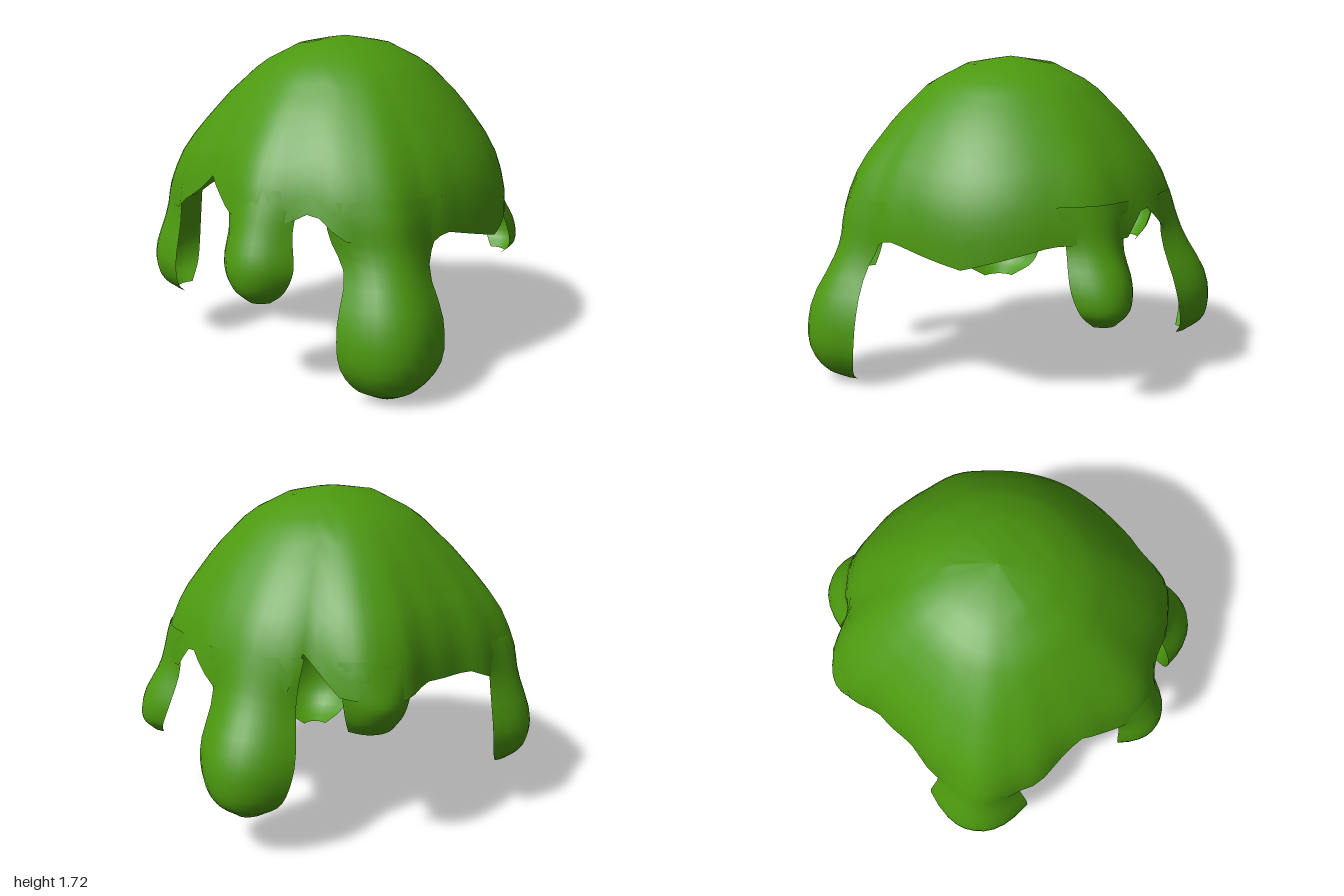
import * as THREE from 'three';

const TOP = 1.715, CZ = -0.05;
const RAD = Math.PI / 180;

// Cap profile: [depth below the top, share of the outline radius]
const PROFILE = [[0, 0], [0.035, 0.26], [0.167, 0.515], [0.374, 0.715], [0.597, 0.875], [0.747, 0.95], [0.9, 0.99], [1, 1]];

// Ragged lower edge of the cap: [degrees from front towards +x, height]
const RIM = [[0, 0.76], [20, 0.69], [50, 0.81], [80, 0.82], [90, 0.97], [105, 0.8], [131, 0.8],
  [136, 1.02], [148, 0.83], [169, 0.8], [180, 0.84], [200, 0.83], [210, 0.76], [237, 0.78], [260, 1.02],
  [274, 0.88], [297, 0.86], [306, 0.93], [315, 0.8], [346, 0.74], [349, 0.8], [360, 0.76]];

// Plan outline of the cap: [degrees, radius]
const PLAN = [[0, 0.85], [28, 0.86], [50, 0.86], [67, 0.89], [82, 0.86], [105, 0.88], [119, 0.91], [130, 0.89], [139, 0.86],
  [156, 0.97], [166, 0.95], [180, 0.86], [193, 0.86], [210, 0.95], [224, 1.04], [238, 0.96], [255, 0.87], [266, 0.88],
  [287, 0.96], [302, 0.9], [318, 0.94], [330, 0.96], [345, 0.88], [360, 0.85]];

// Hanging drips: rows are [height, half width, radius of the outer face]
const DRIPS = [
  { name: 'frontDrip', angle: -31, rows: [[0.98, 0.28, 0.95], [0.8, 0.26, 0.98], [0.63, 0.215, 1.04], [0.4, 0.265, 1.145], [0.2, 0.26, 1.16], [0.07, 0.18, 1.09], [0, 0.07, 0.97]] },
  { name: 'leftFrontDrip', angle: 67, rows: [[1.0, 0.2, 0.88], [0.8, 0.17, 0.93], [0.59, 0.185, 1.02], [0.48, 0.15, 1.03], [0.41, 0.07, 0.97]] },
  { name: 'leftBackDrip', angle: 119, rows: [[1.0, 0.24, 0.9], [0.78, 0.23, 0.98], [0.48, 0.265, 1.1], [0.3, 0.21, 1.09], [0.2, 0.07, 0.98]] },
  { name: 'backDrip', angle: 160, rows: [[1.0, 0.18, 0.93], [0.8, 0.17, 0.99], [0.7, 0.15, 0.96], [0.62, 0.12, 0.89]] },
  { name: 'rightBackDrip', angle: 222, rows: [[1.0, 0.24, 1.0], [0.76, 0.22, 1.06], [0.47, 0.275, 1.135], [0.34, 0.23, 1.11], [0.25, 0.09, 1.02]] },
  { name: 'rightFrontDrip', angle: 287, rows: [[1.02, 0.21, 0.92], [0.82, 0.19, 1.0], [0.63, 0.21, 1.045], [0.52, 0.16, 1.02], [0.45, 0.07, 0.95]] },
];

function lookup(table, d, smooth) {
  let i = 0;
  while (i < table.length - 2 && d > table[i + 1][0]) i++;
  const [a, va] = table[i], [b, vb] = table[i + 1];
  let t = (d - a) / (b - a);
  if (smooth) t = t * t * (3 - 2 * t);
  return va + (vb - va) * t;
}

// Share of the cap's depth reached at a height
const depthAt = y => THREE.MathUtils.clamp((TOP - y) / 0.87, 0, 1);

// Radius of the cap in a given direction and height
function capRadius(deg, y) {
  const h = depthAt(y);
  return lookup(PROFILE, h, false) * THREE.MathUtils.lerp(0.87, lookup(PLAN, deg, true), h);
}

// Surface from a grid of points, rows running downwards and columns to the right
function gridSurface(rows, cols, closed, point) {
  const pos = [], index = [];
  const n = closed ? cols : cols + 1;
  for (let r = 0; r <= rows; r++)
    for (let c = 0; c < n; c++) pos.push(...point(r / rows, c / cols));
  for (let r = 0; r < rows; r++)
    for (let c = 0; c < cols; c++) {
      const a = r * n + c, b = r * n + (c + 1) % n;
      index.push(a, a + n, b + n, a, b + n, b);
    }
  const g = new THREE.BufferGeometry();
  g.setAttribute('position', new THREE.Float32BufferAttribute(pos, 3));
  g.setIndex(index);
  g.computeVertexNormals();
  return g;
}

// Rounded cap with a ragged rim, its crown leaning slightly back and to the right
function capGeometry() {
  return gridSurface(14, 90, true, (v, u) => {
    const deg = u * 360, a = deg * RAD;
    const y = TOP - (TOP - lookup(RIM, deg, false)) * Math.pow(v, 1.6);
    const r = capRadius(deg, y), lean = 0.025 * (1 - depthAt(y));
    return [Math.sin(a) * r - lean, y, Math.cos(a) * r + CZ - lean];
  });
}

// Bulging tongue, curved across its width, that grows out of the cap surface
function dripGeometry({ angle, rows }) {
  const path = new THREE.CatmullRomCurve3(rows.map(p => new THREE.Vector3(...p)));
  const a = angle * RAD, sin = Math.sin(a), cos = Math.cos(a);
  return gridSurface(16, 10, false, (v, u) => {
    const p = path.getPoint(v), w = u * 2 - 1;
    const out = p.z - 0.66 * p.y * Math.pow(Math.abs(w), 2.2);
    const side = p.y * w;
    const x = sin * out + cos * side, z = cos * out - sin * side;
    const deg = (Math.atan2(x, z) / RAD + 360) % 360;
    const blend = THREE.MathUtils.smoothstep(v, 0, 0.45);
    const k = THREE.MathUtils.lerp(capRadius(deg, p.x) / Math.hypot(x, z), 1, blend);
    return [x * k, p.x, z * k + CZ];
  });
}

export function createModel() {
  const slime = new THREE.MeshStandardMaterial({ color: 0x4c980f, side: THREE.DoubleSide });
  slime.name = 'slimeGreen';
  const model = new THREE.Group();
  model.name = 'drippingCap';
  const add = (name, geometry) => {
    const mesh = new THREE.Mesh(geometry, slime);
    mesh.name = name;
    model.add(mesh);
  };
  add('cap', capGeometry());
  for (const drip of DRIPS) add(drip.name, dripGeometry(drip));
  return model;
}
